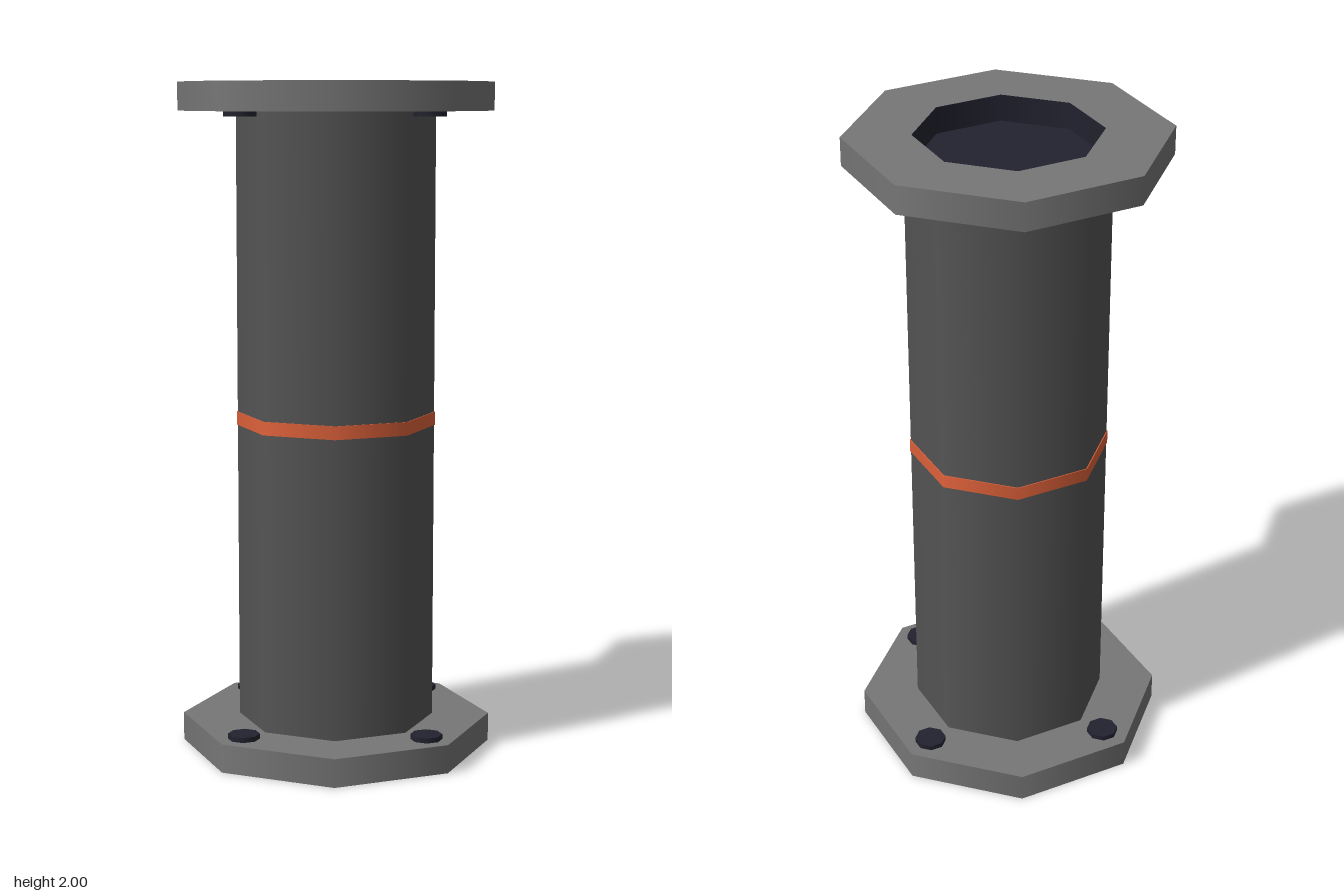
import * as THREE from 'three';

const SIDES = 8;
const FLANGE_R = 0.467, PIPE_R = 0.295, BORE_R = 0.27;
const FLANGE_T = 0.085, BORE_DEPTH = 0.08;

function material(name, color, side = THREE.FrontSide) {
  const m = new THREE.MeshStandardMaterial({ color, side });
  m.name = name;
  return m;
}

function addMesh(parent, name, geometry, mat, x = 0, y = 0, z = 0) {
  const mesh = new THREE.Mesh(geometry, mat);
  mesh.name = name;
  mesh.position.set(x, y, z);
  parent.add(mesh);
  return mesh;
}

export function createModel() {
  const pipeGrey = material('pipe grey', 0x555555);
  const flangeGrey = material('flange grey', 0x777777);
  const darkNavy = material('dark navy', 0x222230, THREE.DoubleSide);
  const orange = material('band orange', 0xe0623a);

  // Flat ring facing up
  const ring = (inner, outer) => new THREE.RingGeometry(inner, outer, SIDES).rotateX(-Math.PI / 2);
  const tube = (r, h) => new THREE.CylinderGeometry(r, r, h, SIDES, 1, true);

  // One flange with its outer face at y = 0 and its bolted face up
  function createFlange(name) {
    const flange = new THREE.Group();
    flange.name = name;
    addMesh(flange, 'flangeRim', tube(FLANGE_R, FLANGE_T), flangeGrey, 0, FLANGE_T / 2);
    addMesh(flange, 'flangeInnerFace', ring(BORE_R, FLANGE_R), flangeGrey, 0, FLANGE_T);
    addMesh(flange, 'flangeOuterFace', ring(BORE_R, FLANGE_R), flangeGrey).rotation.x = Math.PI;

    // Recessed bore, closed at its end
    addMesh(flange, 'boreWall', tube(BORE_R, BORE_DEPTH), darkNavy, 0, BORE_DEPTH / 2);
    const floor = new THREE.CircleGeometry(BORE_R, SIDES).rotateX(Math.PI / 2);
    addMesh(flange, 'boreFloor', floor, darkNavy, 0, BORE_DEPTH);

    // Four bolt heads on the axes
    const bolt = new THREE.CylinderGeometry(0.047, 0.047, 0.03, SIDES);
    for (let i = 0; i < 4; i++) {
      const a = (i * Math.PI) / 2;
      addMesh(flange, 'bolt', bolt, darkNavy, Math.cos(a) * 0.38, FLANGE_T, Math.sin(a) * 0.38);
    }
    return flange;
  }

  const model = new THREE.Group();
  model.name = 'flangedPipe';

  // Pipe body between the flanges, with a thin band around the middle
  addMesh(model, 'pipeBody', tube(PIPE_R, 2 - 2 * FLANGE_T), pipeGrey, 0, 1);
  addMesh(model, 'middleBand', new THREE.CylinderGeometry(0.298, 0.298, 0.04, SIDES), orange, 0, 1);

  model.add(createFlange('bottomFlange'));
  const top = createFlange('topFlange');
  top.rotation.x = Math.PI;
  top.position.y = 2;
  model.add(top);

  return model;
}
